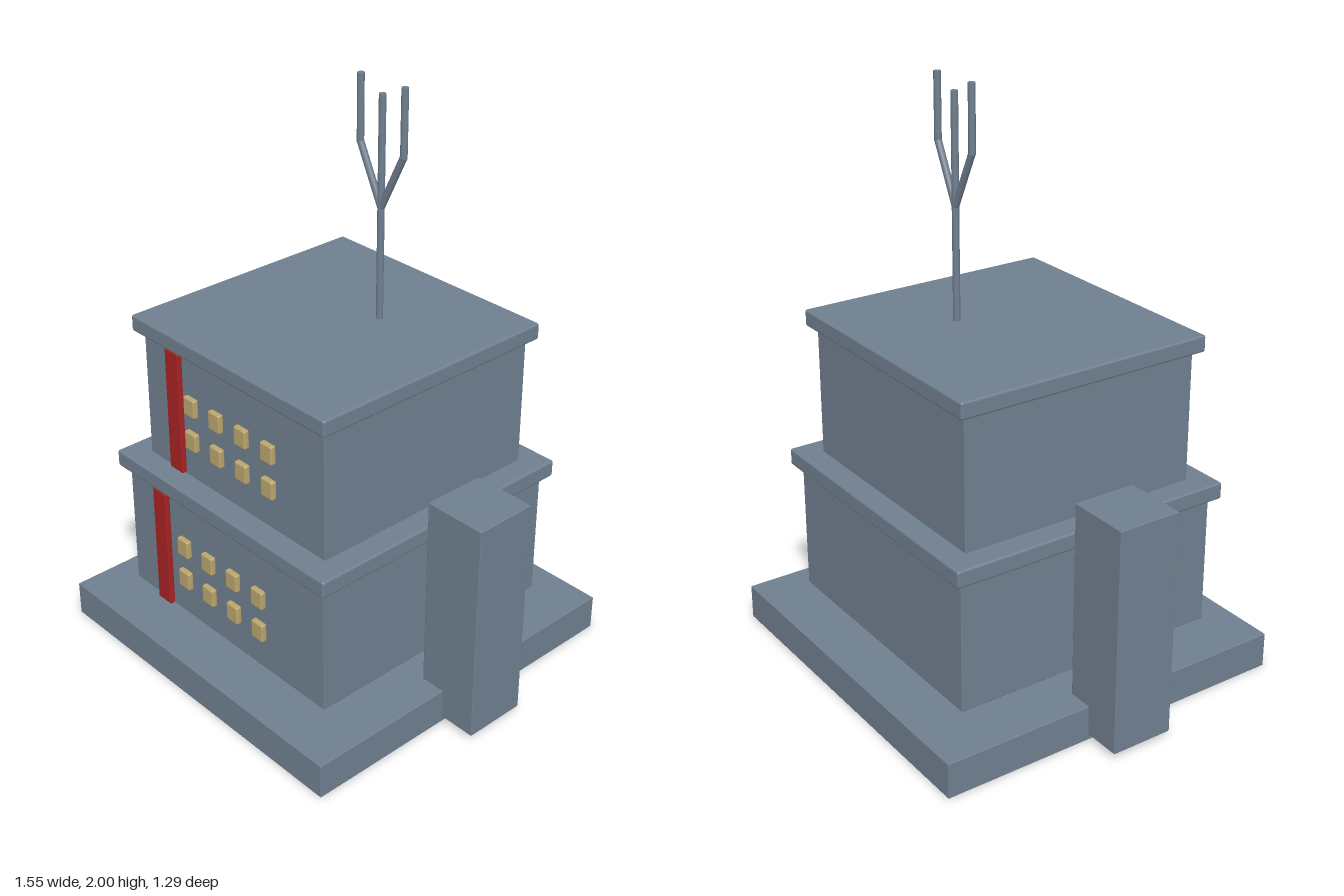
import * as THREE from 'three';
import { RoundedBoxGeometry } from 'three/addons/geometries/RoundedBoxGeometry.js';

export function createModel() {
  const model = new THREE.Group();
  model.name = 'building';
  const mat = (name, color) => {
    const m = new THREE.MeshStandardMaterial({ color });
    m.name = name;
    return m;
  };
  const slate = mat('slate', 0x708090);
  const red = mat('red', 0xa82424);
  const tan = mat('tan', 0xbaa66e);

  const add = (name, geometry, material, parent = model) => {
    const mesh = new THREE.Mesh(geometry, material);
    mesh.name = name;
    parent.add(mesh);
    return mesh;
  };
  // Softly bevelled box given by its extents
  const box = (name, [x0, x1], [y0, y1], [z0, z1], material, bevel = 0.006, parent = model) => {
    const g = new RoundedBoxGeometry(x1 - x0, y1 - y0, z1 - z0, 2, bevel);
    g.translate((x0 + x1) / 2, (y0 + y1) / 2, (z0 + z1) / 2);
    return add(name, g, material, parent);
  };
  const block = (name, half, y0, y1, bevel) =>
    box(name, [-half, half], [y0, y1], [-half, half], slate, bevel);

  // Ground slab, two storeys and their overhanging roofs
  block('baseSlab', 0.644, 0, 0.125, 0.003);
  block('lowerStorey', 0.491, 0.165, 0.63, 0.004);
  block('lowerRoof', 0.521, 0.625, 0.685, 0.008);
  block('upperStorey', 0.438, 0.68, 1.145, 0.004);
  block('upperRoof', 0.467, 1.142, 1.2, 0.008);

  // Red vertical banners
  box('lowerBanner', [-0.33, -0.263], [0.18, 0.625], [0.5, 0.52], red, 0.004);
  box('upperBanner', [-0.298, -0.231], [0.7, 1.142], [0.446, 0.465], red, 0.004);

  // Window rows on the front
  const windows = new THREE.Group();
  windows.name = 'windows';
  model.add(windows);
  for (const [rows, z] of [[[0.315, 0.443], 0.49], [[0.835, 0.963], 0.437]]) {
    for (const y of rows) {
      for (let i = 0; i < 4; i++) {
        const x = -0.193 + i * 0.127;
        box('window', [x - 0.028, x + 0.028], [y - 0.034, y + 0.034], [z, z + 0.022], tan, 0.007, windows);
      }
    }
  }

  // Side towers standing on round feet
  for (const s of [-1, 1]) {
    const x = s * 0.665;
    box('tower', [x - 0.112, x + 0.112], [0.02, 0.81], [-0.112, 0.112], slate, 0.004);
    add('towerFoot', new THREE.CylinderGeometry(0.075, 0.075, 0.022, 12), tan).position.set(x, 0.011, 0);
  }

  // Three-pronged mast
  const mast = new THREE.Group();
  mast.name = 'mast';
  mast.position.set(0.093, 0, -0.112);
  model.add(mast);
  const rod = (name, x0, y0, x1, y1) => {
    const a = new THREE.Vector3(x0, y0, 0);
    const d = new THREE.Vector3(x1, y1, 0).sub(a);
    const mesh = add(name, new THREE.CylinderGeometry(0.012, 0.012, d.length(), 12), slate, mast);
    mesh.position.copy(a).addScaledVector(d, 0.5);
    mesh.quaternion.setFromUnitVectors(new THREE.Vector3(0, 1, 0), d.normalize());
  };
  rod('mastPole', 0, 1.19, 0, 1.957);
  for (const s of [-1, 1]) {
    rod('mastBranch', 0, 1.585, s * 0.096, 1.78);
    rod('mastProng', s * 0.096, 1.775, s * 0.096, 2);
  }
  return model;
}
